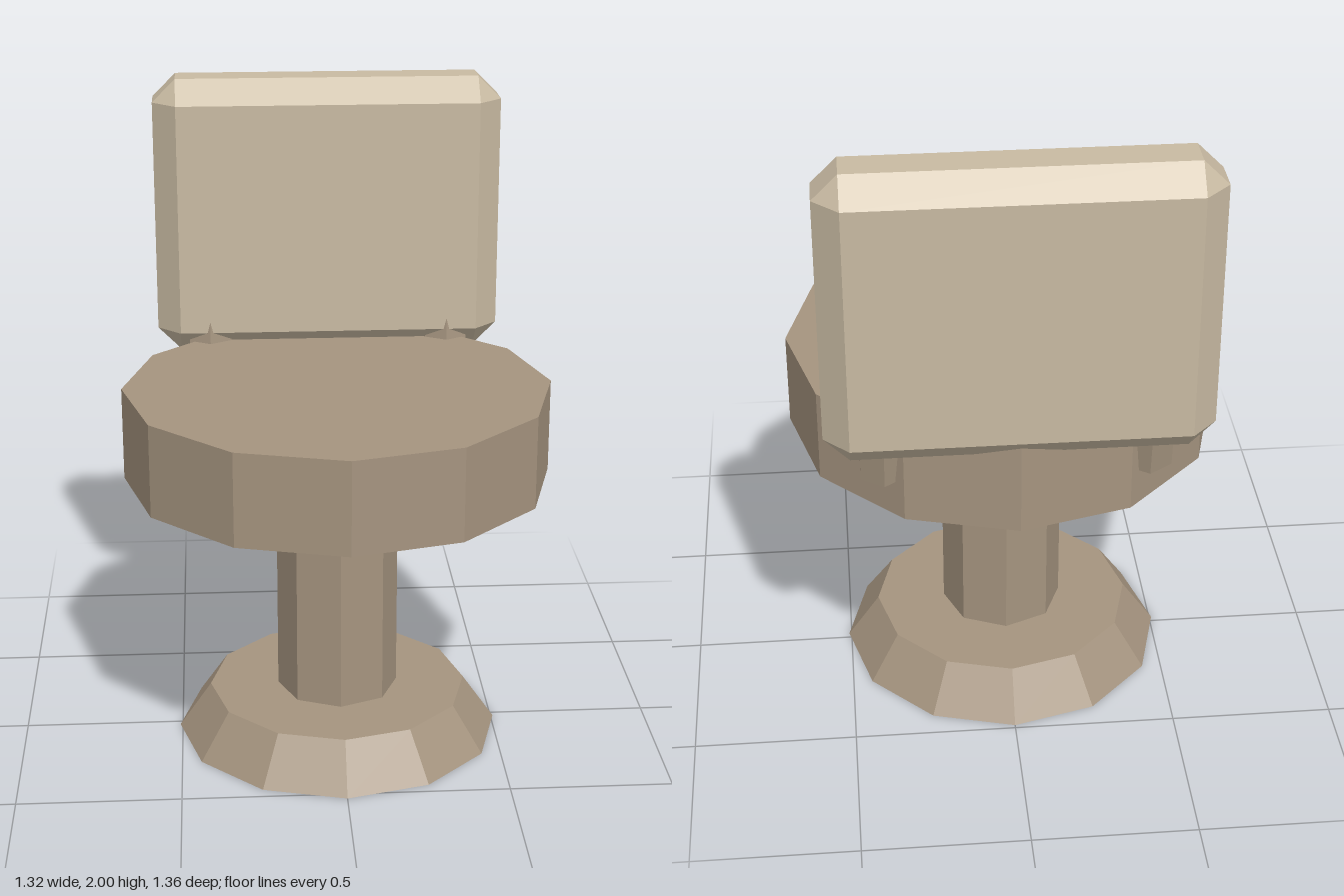
import * as THREE from 'three';
import { ConvexGeometry } from 'three/addons/geometries/ConvexGeometry.js';

const AXIS_Z = 0.02; // the pedestal sits slightly forward of centre

// Box with flat chamfers: the hull of each corner pushed out along one axis
function chamferedBox(w, h, d, c) {
  const points = [];
  for (const sx of [-1, 1]) for (const sy of [-1, 1]) for (const sz of [-1, 1]) {
    const x = w / 2, y = h / 2, z = d / 2;
    points.push(
      new THREE.Vector3(sx * x, sy * (y - c), sz * (z - c)),
      new THREE.Vector3(sx * (x - c), sy * y, sz * (z - c)),
      new THREE.Vector3(sx * (x - c), sy * (y - c), sz * z));
  }
  return new ConvexGeometry(points);
}

export function createModel() {
  const group = new THREE.Group();
  group.name = 'stool';

  const frame = new THREE.MeshStandardMaterial({ color: 0xa5947f, flatShading: true });
  frame.name = 'warm brown';
  const cushion = new THREE.MeshStandardMaterial({ color: 0xc8baa2, flatShading: true });
  cushion.name = 'light beige';

  const add = (name, geometry, material, x, y, z) => {
    const mesh = new THREE.Mesh(geometry, material);
    mesh.name = name;
    mesh.position.set(x, y, z);
    group.add(mesh);
    return mesh;
  };

  // Upright faceted disc or column between two heights
  const drum = (name, rTop, rBottom, y0, y1, sides) =>
    add(name, new THREE.CylinderGeometry(rTop, rBottom, y1 - y0, sides), frame, 0, (y0 + y1) / 2, AXIS_Z);

  // Pedestal and seat
  drum('base', 0.407, 0.508, 0, 0.145, 12);
  drum('column', 0.19, 0.19, 0.145, 0.86, 8);
  drum('seat', 0.66, 0.66, 0.86, 1.15, 12);

  // Backrest
  add('backrest', chamferedBox(1.11, 0.89, 0.255, 0.074), cushion, 0, 1.555, -0.5525);

  // Tilted hexagonal posts joining the seat and the backrest
  for (const side of [-1, 1]) {
    const post = add(side > 0 ? 'leftPost' : 'rightPost',
      new THREE.CylinderGeometry(0.078, 0.078, 0.36, 6), frame, side * 0.385, 1.161, -0.495);
    post.rotation.x = -0.15;
  }

  return group;
}
